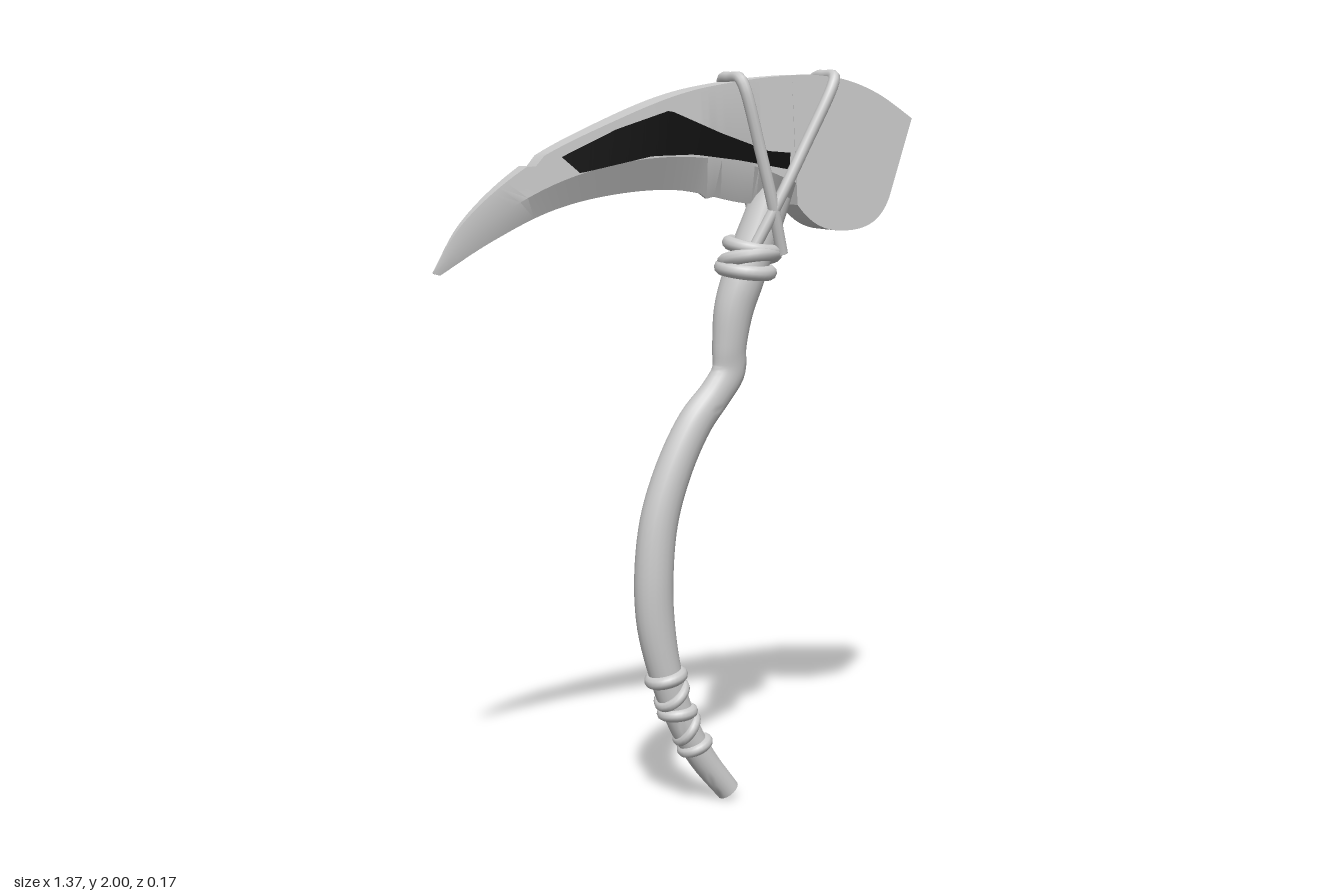
import * as THREE from 'three';
import { toCreasedNormals } from 'three/addons/utils/BufferGeometryUtils.js';

const grey = new THREE.MeshStandardMaterial({ color: 0xcccccc });
const black = new THREE.MeshStandardMaterial({ color: 0x0a0a0a, side: THREE.DoubleSide });

// Smooth curve through [x, y] points
const spline = (pts) => new THREE.CatmullRomCurve3(pts.map(([x, y]) => new THREE.Vector3(x, y, 0)));

// Skin a row of equal-length point rings and cap both ends
function loft(rings, crease) {
  const pos = [];
  const tri = (...pts) => pts.forEach((p) => pos.push(...p));
  const n = rings[0].length;
  for (let i = 0; i < rings.length - 1; i++) {
    for (let j = 0; j < n; j++) {
      const k = (j + 1) % n;
      const a = rings[i][j], b = rings[i][k], c = rings[i + 1][j], d = rings[i + 1][k];
      tri(a, c, b);
      tri(b, c, d);
    }
  }
  const first = rings[0], last = rings[rings.length - 1];
  for (let j = 1; j < n - 1; j++) {
    tri(first[0], first[j], first[j + 1]);
    tri(last[0], last[j + 1], last[j]);
  }
  const geo = new THREE.BufferGeometry();
  geo.setAttribute('position', new THREE.Float32BufferAttribute(pos, 3));
  return toCreasedNormals(geo, crease);
}

// Half thickness of the blade: constant, then thinning toward the tip
function half(x) {
  const t = Math.min(1, Math.max(0, (-0.05 - x) / 0.64));
  return 0.05 * (1 - Math.pow(t, 1.6)) + 0.002;
}

// Curved blade: spine, bevel line and cutting edge joined by cross-sections
function makeBlade() {
  const spine = spline([[-0.69, 1.485], [-0.61, 1.61], [-0.44, 1.752], [-0.2, 1.868], [0, 1.94], [0.2, 1.975], [0.31, 1.985]]);
  const bevel = spline([[-0.685, 1.482], [-0.57, 1.59], [-0.38, 1.7], [-0.19, 1.757], [0, 1.772], [0.2, 1.745], [0.325, 1.7]]);
  const edge = spline([[-0.67, 1.478], [-0.53, 1.56], [-0.36, 1.637], [-0.18, 1.676], [0, 1.683], [0.2, 1.645], [0.33, 1.64]]);
  const rings = [];
  const steps = 60;
  for (let i = 0; i <= steps; i++) {
    const [s, b, e] = [spine, bevel, edge].map((c) => c.getPoint(i / steps));
    // Small nicks in the spine and the cutting edge
    if (Math.abs(s.x + 0.415) < 0.016) s.y -= 0.014;
    if (Math.abs(e.x - 0.08) < 0.012) e.y -= 0.01;
    const [t, m, k] = [half(s.x), half(b.x), half(e.x) * 0.1];
    rings.push([[s.x, s.y, -t], [b.x, b.y, -m], [e.x, e.y, -k], [e.x, e.y, k], [b.x, b.y, m], [s.x, s.y, t]]);
  }
  return loft(rings, 0.45);
}

// Blunt slab behind the blade
function makeButt() {
  const v = (x, y) => new THREE.Vector2(x, y);
  const shape = new THREE.Shape();
  shape.moveTo(0.31, 1.985);
  shape.splineThru([v(0.38, 1.986), v(0.48, 1.972), v(0.58, 1.934), v(0.682, 1.87)]);
  shape.lineTo(0.614, 1.655);
  shape.bezierCurveTo(0.59, 1.595, 0.55, 1.57, 0.48, 1.568);
  shape.bezierCurveTo(0.41, 1.566, 0.37, 1.59, 0.33, 1.64);
  const geo = new THREE.ExtrudeGeometry(shape, { depth: 0.104, bevelEnabled: false, curveSegments: 8 });
  return toCreasedNormals(geo.translate(0, 0, -0.052), 0.45);
}

// Dark inlay lying just above one face of the blade
function makeInlay(side) {
  const upper = [[-0.35, 1.775], [-0.2, 1.845], [-0.05, 1.893], [0.1, 1.833], [0.24, 1.785], [0.305, 1.78]];
  const lower = [[-0.35, 1.775], [-0.3, 1.733], [-0.1, 1.775], [0.02, 1.778], [0.15, 1.762], [0.305, 1.735]];
  const at = (line, x) => {
    let i = 0;
    while (i < line.length - 2 && x > line[i + 1][0]) i++;
    const [a, b] = [line[i], line[i + 1]];
    return a[1] + ((x - a[0]) / (b[0] - a[0])) * (b[1] - a[1]);
  };
  const geo = new THREE.PlaneGeometry(1, 1, 40, 1);
  const p = geo.attributes.position;
  for (let i = 0; i < p.count; i++) {
    const x = -0.35 + 0.655 * (p.getX(i) + 0.5);
    p.setXYZ(i, x, at(p.getY(i) > 0 ? upper : lower, x), side * (half(x) + 0.003));
  }
  geo.computeVertexNormals();
  return geo;
}

// Crooked handle: elliptical sections swept along a curve
function makeHandle() {
  // centre x, y | radius across x | radius across z
  const path = [
    [0.152, 0.025, 0.033, 0.033], [0.07, 0.13, 0.038, 0.038], [0.005, 0.25, 0.041, 0.04],
    [-0.04, 0.38, 0.046, 0.043], [-0.068, 0.52, 0.053, 0.047], [-0.073, 0.65, 0.054, 0.05],
    [-0.057, 0.8, 0.053, 0.048], [-0.012, 0.94, 0.051, 0.046], [0.05, 1.06, 0.049, 0.042],
    [0.115, 1.14, 0.046, 0.036], [0.15, 1.195, 0.048, 0.033], [0.152, 1.26, 0.048, 0.04],
    [0.165, 1.36, 0.055, 0.05], [0.195, 1.45, 0.058, 0.057], [0.28, 1.67, 0.055, 0.05],
  ];
  const centre = spline(path);
  const radius = spline(path.map((p) => p.slice(2)));
  const rings = [];
  const steps = 75, sides = 20;
  for (let i = 0; i <= steps; i++) {
    const c = centre.getPoint(i / steps), t = centre.getTangent(i / steps);
    const r = radius.getPoint(i / steps);
    rings.push(Array.from({ length: sides }, (_, j) => {
      const a = (j / sides) * Math.PI * 2, u = Math.cos(a) * r.x;
      return [c.x + t.y * u, c.y - t.x * u, Math.sin(a) * r.y];
    }));
  }
  return loft(rings, 0.9);
}

// Cord from the handle, up one face, over the blade and down the other
function makeCord(bx, tx, ty) {
  const by = 1.51, out = 0.066;
  const lerp = (f, z) => new THREE.Vector3(bx + (tx - bx) * f, by + (ty - by) * f, z);
  const front = [[0, 0.05], [0.3, out], [0.6, out + 0.003], [0.94, out], [0.995, out - 0.015]];
  const pts = [
    ...front.map(([f, z]) => lerp(f, z)),
    lerp(1, 0),
    ...front.reverse().map(([f, z]) => lerp(f, -z)),
  ];
  return new THREE.TubeGeometry(new THREE.CatmullRomCurve3(pts), 90, 0.016, 10);
}

export function createModel() {
  const group = new THREE.Group();
  const add = (name, geo, mat = grey) => {
    const mesh = new THREE.Mesh(geo, mat);
    mesh.name = name;
    group.add(mesh);
    return mesh;
  };

  add('blade', makeBlade());
  add('bladeButt', makeButt());
  add('frontInlay', makeInlay(1), black);
  add('backInlay', makeInlay(-1), black);
  add('handle', makeHandle());
  add('innerCord', makeCord(0.285, 0.155, 1.978));
  add('outerCord', makeCord(0.19, 0.44, 1.984));

  // Wrapped rings: name, x, y, radius, cord thickness, tilt about z, tilt about x
  const wraps = [
    ['upperWrap', 0.2, 1.467, 0.066, 0.02, -0.08, 0.1],
    ['upperWrap', 0.212, 1.498, 0.069, 0.02, 0.05, -0.22],
    ['upperWrap', 0.22, 1.528, 0.064, 0.019, -0.15, 0.12],
    ['gripWrap', -0.037, 0.365, 0.043, 0.018, 0.25, 0],
    ['gripWrap', -0.02, 0.315, 0.042, 0.015, 0.75, 0.1],
    ['gripWrap', -0.003, 0.265, 0.04, 0.017, 0.1, 0],
    ['gripWrap', 0.025, 0.215, 0.04, 0.014, 0.95, -0.1],
    ['gripWrap', 0.05, 0.165, 0.036, 0.016, 0.4, 0],
  ];
  for (const [name, x, y, r, tube, tiltZ, tiltX] of wraps) {
    const geo = new THREE.TorusGeometry(r, tube, 10, 28).rotateX(Math.PI / 2 + tiltX).rotateZ(tiltZ);
    add(name, geo).position.set(x, y, 0);
  }
  return group;
}
